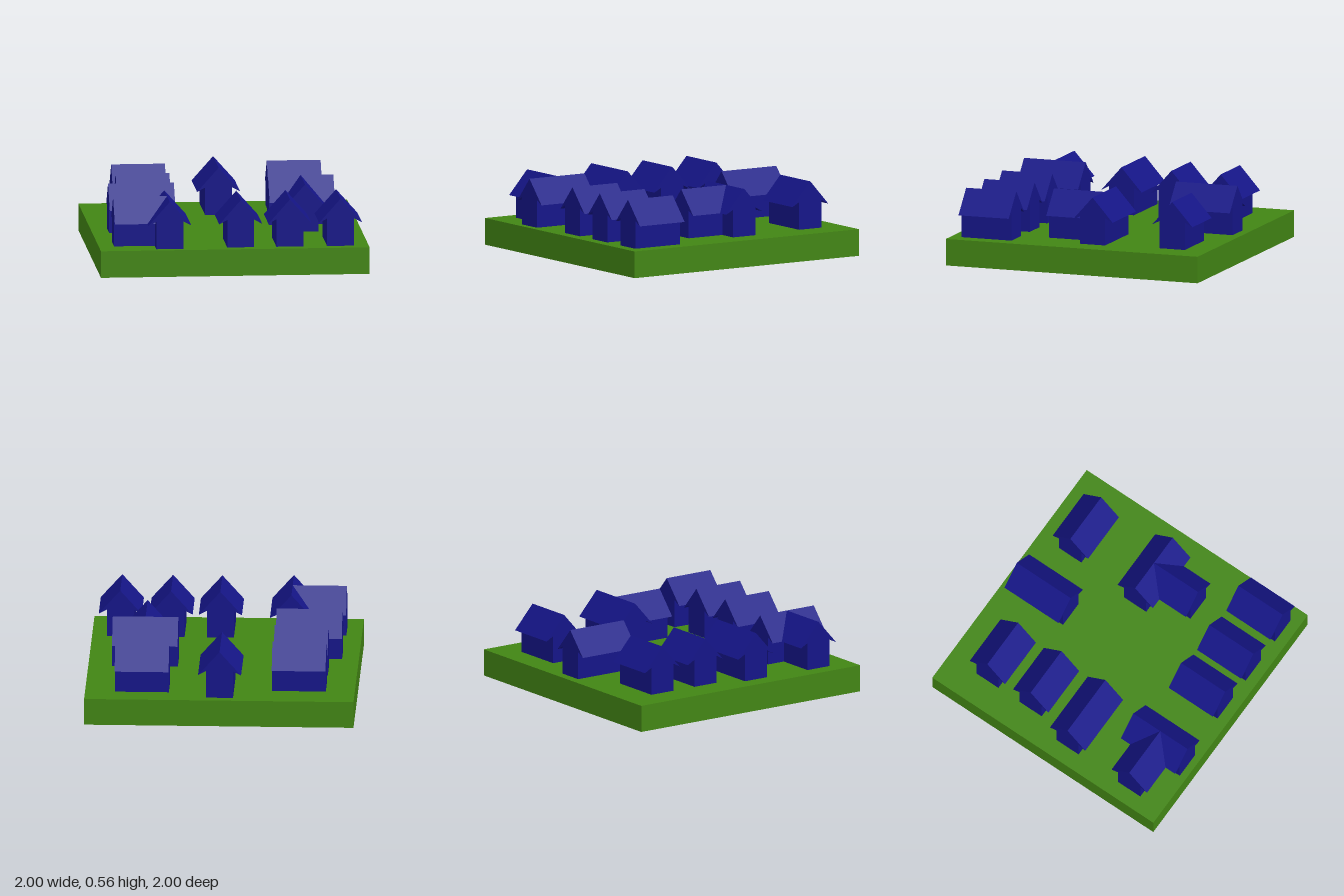
import * as THREE from 'three';

const GROUND = 0.2;

// Gabled house cross-section: walls, sloped eave undersides, ridge
function houseProfile() {
  const half = [[0.1, 0], [0.1, 0.207], [0.16, 0.175], [0, 0.355]];
  const mirrored = half.slice(0, 3).reverse().map(([x, y]) => [-x, y]);
  return new THREE.Shape([...half, ...mirrored].map(([x, y]) => new THREE.Vector2(x, y)));
}

// Ridge direction, centre across the ridge, start and end along the ridge
const houses = [
  ['x', -0.652, -0.785, -0.385],
  ['x', -0.26, -0.785, -0.385],
  ['x', 0.137, -0.875, -0.385],
  ['x', 0.702, -0.885, -0.483], // side wing of the corner house
  ['z', -0.483, 0.458, 0.948],
  ['z', -0.003, -0.932, -0.444],
  ['x', -0.714, 0.378, 0.779],
  ['x', -0.097, 0.335, 0.822],
  ['z', 0.578, -0.097, 0.303], // front wing of the T-shaped house
  ['z', 0.047, 0.52, 0.919],
  ['z', 0.413, 0.52, 0.919],
  ['z', 0.79, 0.52, 0.919],
];

export function createModel() {
  const model = new THREE.Group();
  model.name = 'village';
  const grass = new THREE.MeshStandardMaterial({ color: 0x428514, flatShading: true });
  const navy = new THREE.MeshStandardMaterial({ color: 0x151588, flatShading: true });

  // Ground slab
  const ground = new THREE.Mesh(new THREE.BoxGeometry(2, GROUND, 2), grass);
  ground.name = 'ground';
  ground.position.y = GROUND / 2;
  model.add(ground);

  // Houses and wings, extruded along their ridges
  const profile = houseProfile();
  houses.forEach(([axis, centre, start, end], i) => {
    const geometry = new THREE.ExtrudeGeometry(profile, { depth: end - start, bevelEnabled: false });
    const house = new THREE.Mesh(geometry, navy);
    house.name = `house${i + 1}`;
    if (axis === 'x') {
      house.rotation.y = Math.PI / 2;
      house.position.set(start, GROUND, centre);
    } else {
      house.position.set(centre, GROUND, start);
    }
    model.add(house);
  });
  return model;
}
